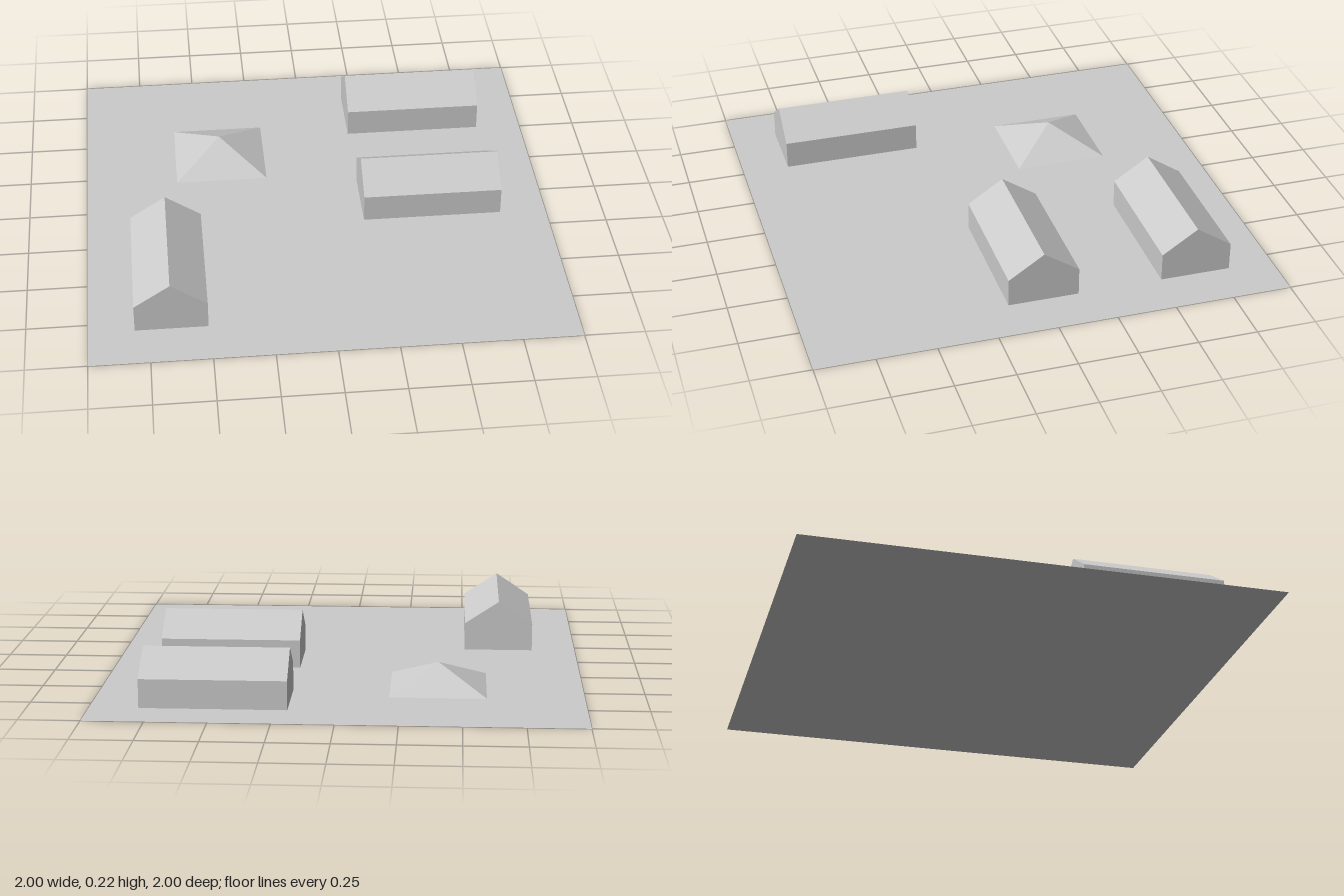
import * as THREE from 'three';

const material = new THREE.MeshStandardMaterial({ color: 0xcccccc, flatShading: true });
const thinMaterial = new THREE.MeshStandardMaterial({ color: 0xcccccc, flatShading: true, side: THREE.DoubleSide });

// Gabled house, ridge along z, centred on its own x and z
function makeHouse(name, x, z, turn) {
  const width = 0.3, length = 0.6, wall = 0.12, ridge = 0.22;
  const gable = new THREE.Shape([
    new THREE.Vector2(-width / 2, 0),
    new THREE.Vector2(width / 2, 0),
    new THREE.Vector2(width / 2, wall),
    new THREE.Vector2(0, ridge),
    new THREE.Vector2(-width / 2, wall),
  ]);
  const geometry = new THREE.ExtrudeGeometry(gable, { depth: length, bevelEnabled: false });
  geometry.translate(0, 0, -length / 2);
  const house = new THREE.Mesh(geometry, material);
  house.name = name;
  house.position.set(x, 0, z);
  house.rotation.y = turn;
  return house;
}

export function createModel() {
  const model = new THREE.Group();
  model.name = 'village';

  // Flat square ground sheet
  const ground = new THREE.Mesh(new THREE.PlaneGeometry(2, 2).rotateX(-Math.PI / 2), thinMaterial);
  ground.name = 'ground';
  model.add(ground);

  // Low square pyramid, sides parallel to the ground's edges
  const moundGeometry = new THREE.ConeGeometry(0.2 * Math.SQRT2, 0.1, 4, 1, true);
  moundGeometry.rotateY(Math.PI / 4).translate(0, 0.05, 0);
  const mound = new THREE.Mesh(moundGeometry, thinMaterial);
  mound.name = 'pyramidMound';
  mound.position.set(-0.4, 0, -0.4);
  model.add(mound);

  // Three houses: two with ridges along x, one along z
  model.add(
    makeHouse('backHouse', 0.5, -0.66, Math.PI / 2),
    makeHouse('middleHouse', 0.5, 0, Math.PI / 2),
    makeHouse('frontHouse', -0.66, 0.5, 0),
  );
  return model;
}
